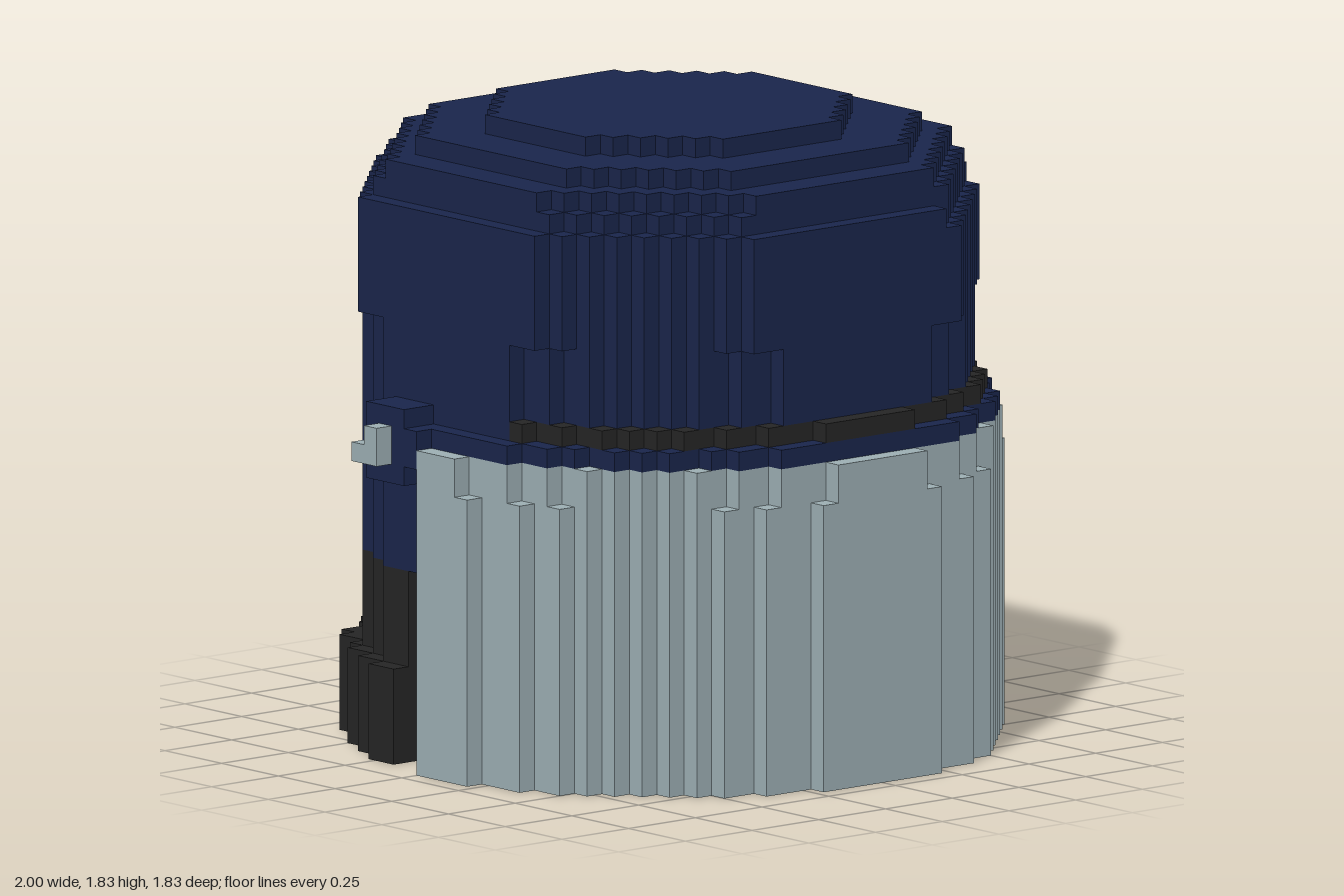
import * as THREE from 'three';

const U = 1 / 18; // one grid cell

// Half-width of a stepped outline in the row from z to z + 1
const circle = (r2, widthScale = 1) => (z) => {
  const d = r2 - (z + 0.5) ** 2;
  return d < 0.25 ? 0 : Math.floor(Math.sqrt(d) * widthScale + 0.5);
};
// Octagon; cut trims its front left corner a little more
const octagon = (radius, sum, cut = 0) => (z, side) => {
  const k = Math.floor(Math.abs(z + 0.5));
  return k >= radius ? 0 : Math.min(radius, sum - k - (z >= 0 && side > 0 ? cut : 0));
};

// Stepped loop through both sides of the rows from z0 on
function stepLoop(rows, z0, dir) {
  const edge = (side) => {
    const points = [];
    for (let z = z0; z < 18; z++) {
      const h = rows(z, side) * side;
      if (h !== 0) points.push(new THREE.Vector2(h, -z * dir), new THREE.Vector2(h, -(z + 1) * dir));
    }
    return points;
  };
  return [...edge(1), ...edge(-1).reverse()];
}

function extrude(shape, y0, y1) {
  const g = new THREE.ExtrudeGeometry(shape, { depth: y1 - y0, bevelEnabled: false });
  return g.rotateX(-Math.PI / 2).translate(0, y0, 0).scale(U, U, U);
}

// Closed layer, optionally hollow
function layer(outer, inner, y0, y1) {
  const shape = new THREE.Shape(stepLoop(outer, -18, 1));
  if (inner) shape.holes.push(new THREE.Path(stepLoop(inner, -18, 1)));
  return extrude(shape, y0, y1);
}

// Curved wall, open at z0; dir 1 bulges to the front, -1 to the back
function wall(outer, inner, z0, y0, y1, dir) {
  const out = stepLoop(outer, z0, dir);
  const inn = stepLoop(inner, z0, dir).reverse();
  return extrude(new THREE.Shape([...out, ...inn]), y0, y1);
}

function box(x0, x1, y0, y1, z0, z1) {
  return new THREE.BoxGeometry((x1 - x0) * U, (y1 - y0) * U, (z1 - z0) * U)
    .translate((x0 + x1) / 2 * U, (y0 + y1) / 2 * U, (z0 + z1) / 2 * U);
}

export function createModel() {
  const model = new THREE.Group();
  const material = (name, color) => {
    const m = new THREE.MeshStandardMaterial({ color });
    m.name = name;
    return m;
  };
  const navy = material('navy', 0x1a264c);
  const grey = material('greyBlue', 0x9eb0b5);
  const black = material('charcoal', 0x262626);

  const part = (name, mat, ...geometries) => {
    const group = new THREE.Group();
    group.name = name;
    for (const g of geometries) {
      const mesh = new THREE.Mesh(g, mat);
      mesh.name = name + 'Piece';
      group.add(mesh);
    }
    model.add(group);
  };

  // Shell: round lower wall with a gap for the seal, eight-sided upper wall
  const shell = circle(235), shellInside = circle(198);
  part('shell', navy,
    wall(shell, shellInside, 0, 10, 17, -1),
    layer(shell, shellInside, 17, 18),
    wall(shell, shellInside, -5, 18, 19, -1),
    layer(shell, shellInside, 19, 23),
    layer(octagon(15, 21), octagon(14, 19), 23, 28));

  // Stepped hollow crown
  part('crown', navy,
    layer(octagon(15, 21, 1), octagon(13, 18), 28, 29),
    layer(octagon(14, 20), octagon(13, 17), 29, 30),
    layer(octagon(14, 19), octagon(11, 15), 30, 31),
    layer(octagon(12, 17), octagon(8, 10), 31, 32),
    layer(octagon(9, 12), null, 32, 33));

  // Brim and dark seal above the visor
  part('brim', navy, wall(circle(271), circle(210), 0, 17, 18, 1));
  part('brimSeal', black, wall(circle(249), shellInside, 5, 18, 19, 1));

  // Face visor
  const visorInside = circle(245);
  part('visor', grey,
    wall(circle(288), visorInside, 0, 0, 15, 1),
    wall(circle(280), visorInside, 0, 15, 17, 1));

  // Neck guard, flaring out at the bottom
  const guardInside = circle(205);
  part('neckGuard', black,
    wall(circle(272.5, 0.98), guardInside, 3, 0, 5, -1),
    wall(circle(242, 0.98), guardInside, 3, 5, 10, -1));

  // Chin rest
  part('chinRest', black, box(-10, 11, 1, 3, -1, 5));

  // Straps and visor hinges
  for (const side of [1, -1]) {
    const label = side > 0 ? 'left' : 'right';
    const sideBox = (a, b, ...rest) => box(Math.min(a * side, b * side), Math.max(a * side, b * side), ...rest);
    const strapX = side > 0 ? 11 : 10;
    part(label + 'Strap', black,
      sideBox(strapX - 1, strapX, 3, 10, -1, 1),
      sideBox(strapX, 14, 9, 10, -1, 1));
    part(label + 'HingePad', navy,
      sideBox(14, 17, 16, 18, -4, 0),
      sideBox(14, 17, 15, 16, -4, -1),
      sideBox(14, 17, 18, 19, -4, -1));
    part(label + 'HingeKnob', grey,
      sideBox(17, 18, 16, 17, -4, -2),
      sideBox(17, 18, 17, 18, -3, -2));
  }
  return model;
}
